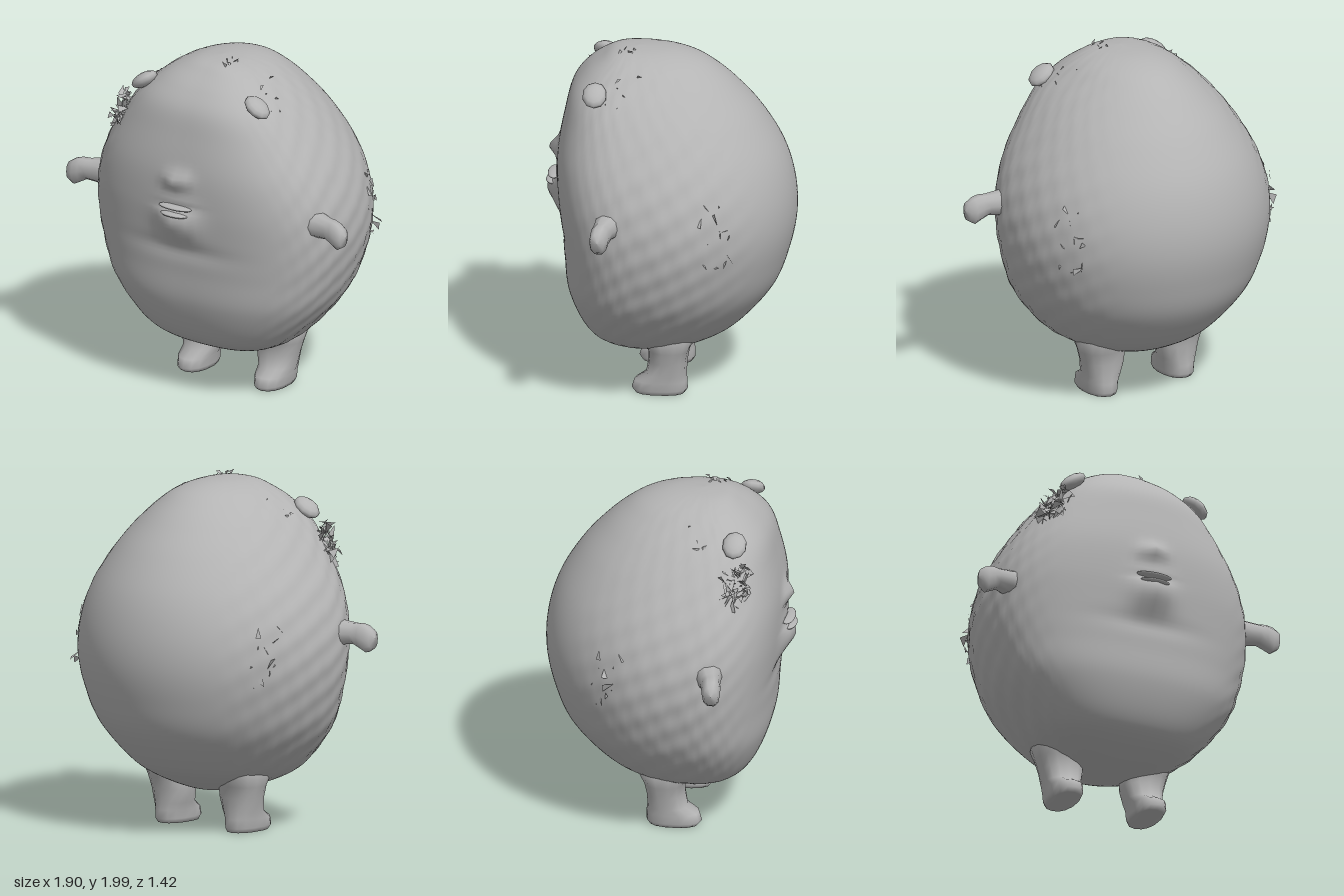
import * as THREE from 'three';

// Body cross-sections: height, half width, front z, back z
const SECTIONS = [
  [0.21, 0, 0.05, 0.05], [0.225, 0.16, 0.2, -0.08], [0.3, 0.37, 0.39, -0.27], [0.4, 0.51, 0.49, -0.42],
  [0.6, 0.67, 0.57, -0.59], [0.8, 0.75, 0.59, -0.67], [1.0, 0.785, 0.61, -0.71], [1.2, 0.77, 0.63, -0.7],
  [1.4, 0.7, 0.63, -0.64], [1.6, 0.58, 0.595, -0.52], [1.75, 0.46, 0.555, -0.39], [1.85, 0.35, 0.48, -0.28],
  [1.92, 0.25, 0.39, -0.17], [1.965, 0.13, 0.31, -0.02], [1.98, 0, 0.18, 0.18],
];
const widthCurve = new THREE.SplineCurve(SECTIONS.map(s => new THREE.Vector2(s[0], s[1])));
const depthCurve = new THREE.SplineCurve(SECTIONS.map(s => new THREE.Vector2(s[2], s[3])));

const spow = (v, p) => Math.sign(v) * Math.abs(v) ** p;
const bump = (x, y, rx, ry) => Math.exp(-((x / rx) ** 2 + (y / ry) ** 2));

// Point on the body: t runs from bottom to top, a around from the front
function bodyPoint(t, a) {
  const { x: y, y: w } = widthCurve.getPoint(t);
  const { x: f, y: b } = depthCurve.getPoint(t);
  const mid = b + (f - b) * 0.6, s = Math.sin(a), c = Math.cos(a);
  const p = c > 0 ? 2 / 2.6 : 1;
  const v = new THREE.Vector3(w * spow(s, p), y, mid + (c > 0 ? f - mid : mid - b) * spow(c, p));
  if (c > 0) {
    // muzzle, mouth groove and small bump above it
    v.z += 0.075 * bump(v.x, y - 1.11, 0.12, 0.11) + 0.055 * bump(v.x, y - 1.36, 0.07, 0.05);
    v.z -= 0.03 * bump(v.x, y - 1.2, 0.11, 0.02) + 0.015 * bump(v.x, y - 0.93, 0.3, 0.05);
  }
  // ruffled fur on the flanks
  const side = Math.max(0, Math.abs(s) - 0.6) * Math.min(1, w * 2);
  v.x += Math.sign(s) * side * 0.015 * Math.sin(y * 31 + a * 9) * Math.sin(a * 27 - y * 11);
  return v;
}

// Closed grid of points, wrapped around, with outward faces
function skin(rows, segs, point) {
  const pos = [], index = [];
  for (let i = 0; i <= rows; i++) for (let j = 0; j < segs; j++) {
    pos.push(...point(i, j / segs * Math.PI * 2).toArray());
    if (i === rows) continue;
    const k = (j + 1) % segs, a = i * segs + j, b = i * segs + k;
    index.push(a, b, b + segs, a, b + segs, a + segs);
  }
  const g = new THREE.BufferGeometry();
  g.setAttribute('position', new THREE.Float32BufferAttribute(pos, 3));
  g.setIndex(index);
  g.computeVertexNormals();
  return g;
}

// Limb from rings: height, centre x, centre z, radius x, radius z
const limb = (rings, segs) => skin(rings.length - 1, segs, (i, a) => {
  const [y, cx, cz, rx, rz] = rings[i];
  return new THREE.Vector3(cx + rx * spow(Math.sin(a), 0.85), y, cz + rz * spow(Math.cos(a), 0.85));
});

const LEG = [
  [0.005, 0.26, 0.04, 0, 0], [0.005, 0.26, 0.04, 0.08, 0.14], [0.03, 0.262, 0.042, 0.09, 0.158],
  [0.08, 0.262, 0.035, 0.095, 0.15], [0.12, 0.258, 0.005, 0.105, 0.115], [0.2, 0.255, -0.005, 0.125, 0.11],
  [0.27, 0.265, -0.01, 0.135, 0.118], [0.34, 0.28, -0.01, 0.14, 0.15], [0.45, 0.28, 0, 0.12, 0.16],
];
// Arm runs sideways; the second value is its height
const ARM = [
  [0.62, 1.15, 0.27, 0.085, 0.11], [0.74, 1.15, 0.3, 0.07, 0.075], [0.82, 1.15, 0.32, 0.06, 0.058],
  [0.86, 1.14, 0.33, 0.072, 0.055], [0.9, 1.125, 0.335, 0.078, 0.052], [0.935, 1.125, 0.34, 0.055, 0.04],
  [0.95, 1.13, 0.34, 0, 0],
];

export function createModel() {
  const model = new THREE.Group();
  const grey = new THREE.MeshStandardMaterial({ color: 0xb4b4b4 });
  grey.name = 'warm grey';
  grey.side = THREE.DoubleSide;
  const add = (name, geo) => {
    const mesh = new THREE.Mesh(geo, grey);
    mesh.name = name;
    model.add(mesh);
    return mesh;
  };
  let seed = 7;
  const rnd = () => (seed = (seed * 16807) % 2147483647) / 2147483647;
  const jitter = r => new THREE.Vector3(rnd() - 0.5, rnd() - 0.5, rnd() - 0.5).multiplyScalar(2 * r);

  // Loose triangular shards
  function shards(name, count, place, size) {
    const pos = [];
    for (let i = 0; i < count; i++) {
      const c = place();
      for (let k = 0; k < 3; k++) pos.push(...jitter(size).add(c).toArray());
    }
    const g = new THREE.BufferGeometry();
    g.setAttribute('position', new THREE.Float32BufferAttribute(pos, 3));
    g.computeVertexNormals();
    add(name, g);
  }

  add('body', skin(110, 128, (i, a) => bodyPoint(i / 110, a)));

  // Mouth lips
  for (const [y, z, rx] of [[1.205, 0.655, 0.11], [1.165, 0.665, 0.09]]) {
    const lip = add('lip', new THREE.SphereGeometry(1, 16, 8));
    lip.scale.set(rx, 0.014, 0.04);
    lip.position.set(0, y, z);
  }

  for (const s of [-1, 1]) {
    const side = s > 0 ? 'left' : 'right';
    add(side + 'Leg', limb(LEG.map(([y, x, ...r]) => [y, s * x, ...r]), 14));
    add(side + 'Arm', limb(ARM.map(([x, y, ...r]) => [x, -s * y, ...r]), 10).rotateZ(-s * Math.PI / 2));
    // Small folded ear
    const ear = add(side + 'Ear', new THREE.SphereGeometry(1, 10, 7));
    ear.scale.set(0.085, 0.04, 0.07);
    ear.position.set(s * 0.385, 1.81, 0.4);
    ear.rotation.z = -s * 0.6;
    // Scruffy fur on the flank
    shards(side + 'FlankFur', 16, () => bodyPoint(0.4 + rnd() * 0.12, s * (1.95 + rnd() * 0.25)), 0.04);
    shards(side + 'CrownFur', 8, () => bodyPoint(0.72 + rnd() * 0.12, s * (1.1 + rnd() * 0.6)), 0.025);
  }

  // Flower-like tuft beside the right ear, leaning along the head
  shards('headFlower', 60, () => {
    const a = rnd() * Math.PI * 2, r = 0.04 + rnd() * 0.06;
    return new THREE.Vector3(-0.52 + r * Math.cos(a) * 0.5 + r * Math.sin(a) * 0.45,
      1.625 + r * Math.sin(a) * 1.05, 0.43 + r * Math.cos(a) * 0.8);
  }, 0.042);
  shards('topTuft', 6, () => new THREE.Vector3(0.06 + rnd() * 0.06, 1.97, 0.2 + rnd() * 0.12), 0.025);
  return model;
}
